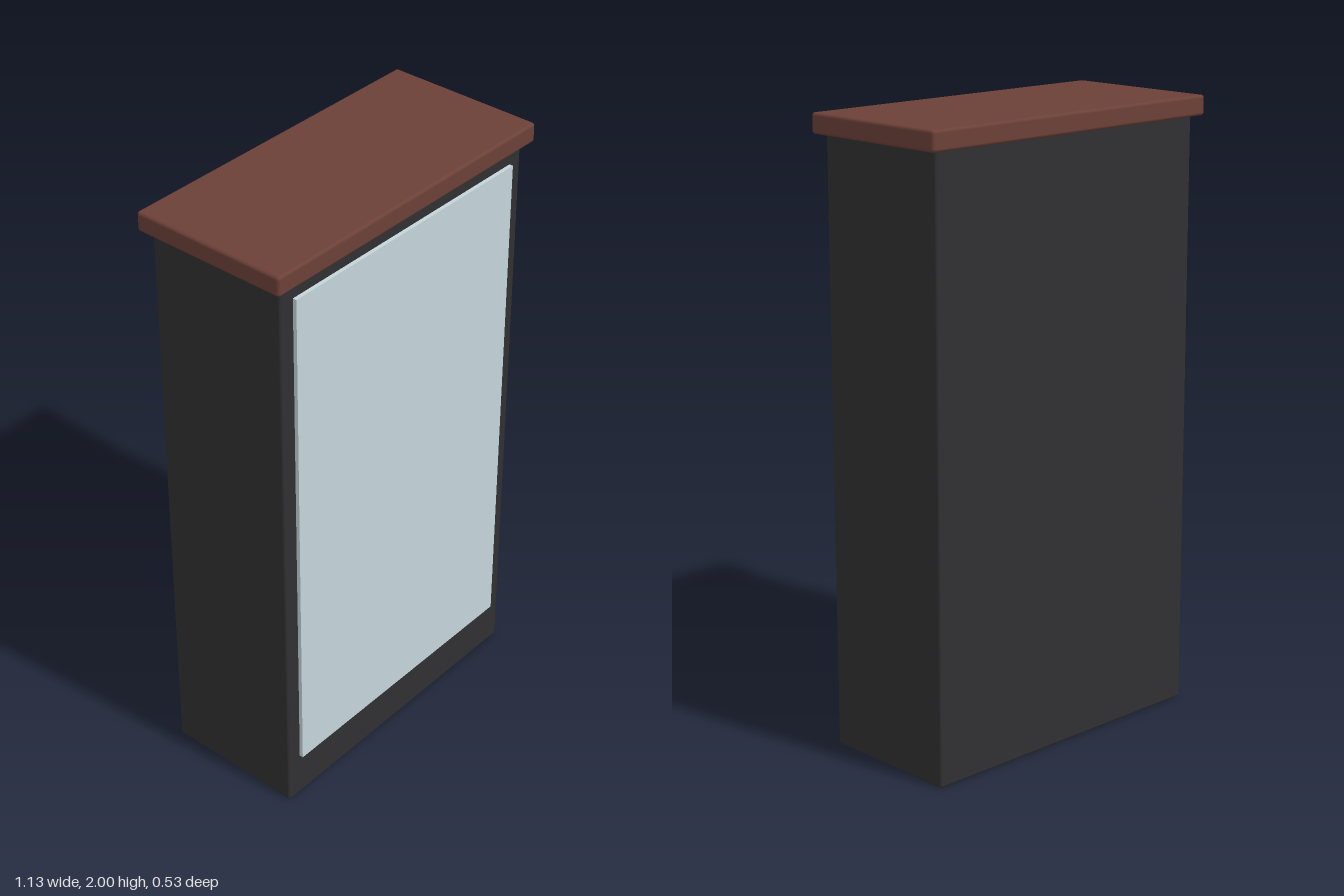
import * as THREE from 'three';
import { RoundedBoxGeometry } from 'three/addons/geometries/RoundedBoxGeometry.js';

function addPart(group, name, geometry, color, y, z = 0) {
  const mesh = new THREE.Mesh(geometry, new THREE.MeshStandardMaterial({ color }));
  mesh.name = name;
  mesh.position.set(0, y, z);
  group.add(mesh);
}

export function createModel() {
  const group = new THREE.Group();
  group.name = 'displayCabinet';

  // Dark cabinet body with softened edges
  addPart(group, 'cabinetBody', new RoundedBoxGeometry(1.07, 1.935, 0.48, 3, 0.008), 0x303032, 0.9725);

  // Overhanging wooden top
  addPart(group, 'woodenTop', new RoundedBoxGeometry(1.135, 0.064, 0.534, 3, 0.01), 0x6b4037, 1.968);

  // Thin glass panel standing slightly proud of the front
  addPart(group, 'glassPanel', new THREE.BoxGeometry(0.966, 1.72, 0.02), 0xc4d4d9, 1.025, 0.243);

  return group;
}
